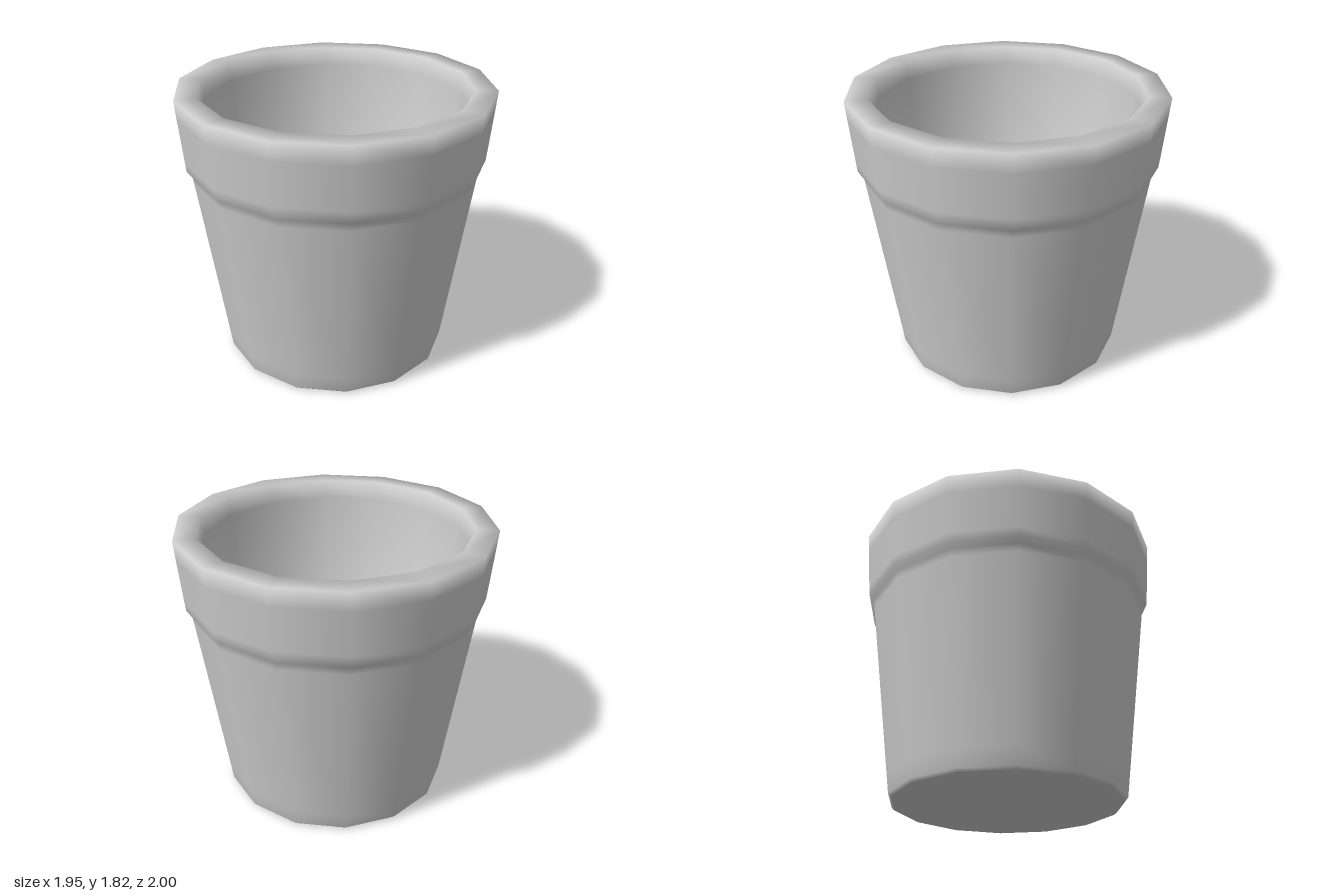
import * as THREE from 'three';

const SIDES = 14;

export function createModel() {
  const group = new THREE.Group();
  group.name = 'flowerPot';

  // Closed wall section [radius, height]: underside, outside, lip, inside, floor
  const profile = [
    [0, 0], [0.73, 0], [0.75, 0.02], [0.765, 0.13],   // base with small bevel
    [0.922, 1.28], [0.93, 1.33],                      // tapered body
    [0.96, 1.36], [0.966, 1.42], [0.99, 1.7], [1, 1.82], // collar
    [0.86, 1.82], [0.845, 1.7],                       // flat lip, inner edge
    [0.67, 0.12], [0, 0.12],                          // inner wall and floor
  ].map(([r, y]) => new THREE.Vector2(r, y));

  const pot = new THREE.Mesh(
    new THREE.LatheGeometry(profile, SIDES),
    new THREE.MeshStandardMaterial({ color: 0xcccccc })
  );
  pot.name = 'pot';
  group.add(pot);
  return group;
}
